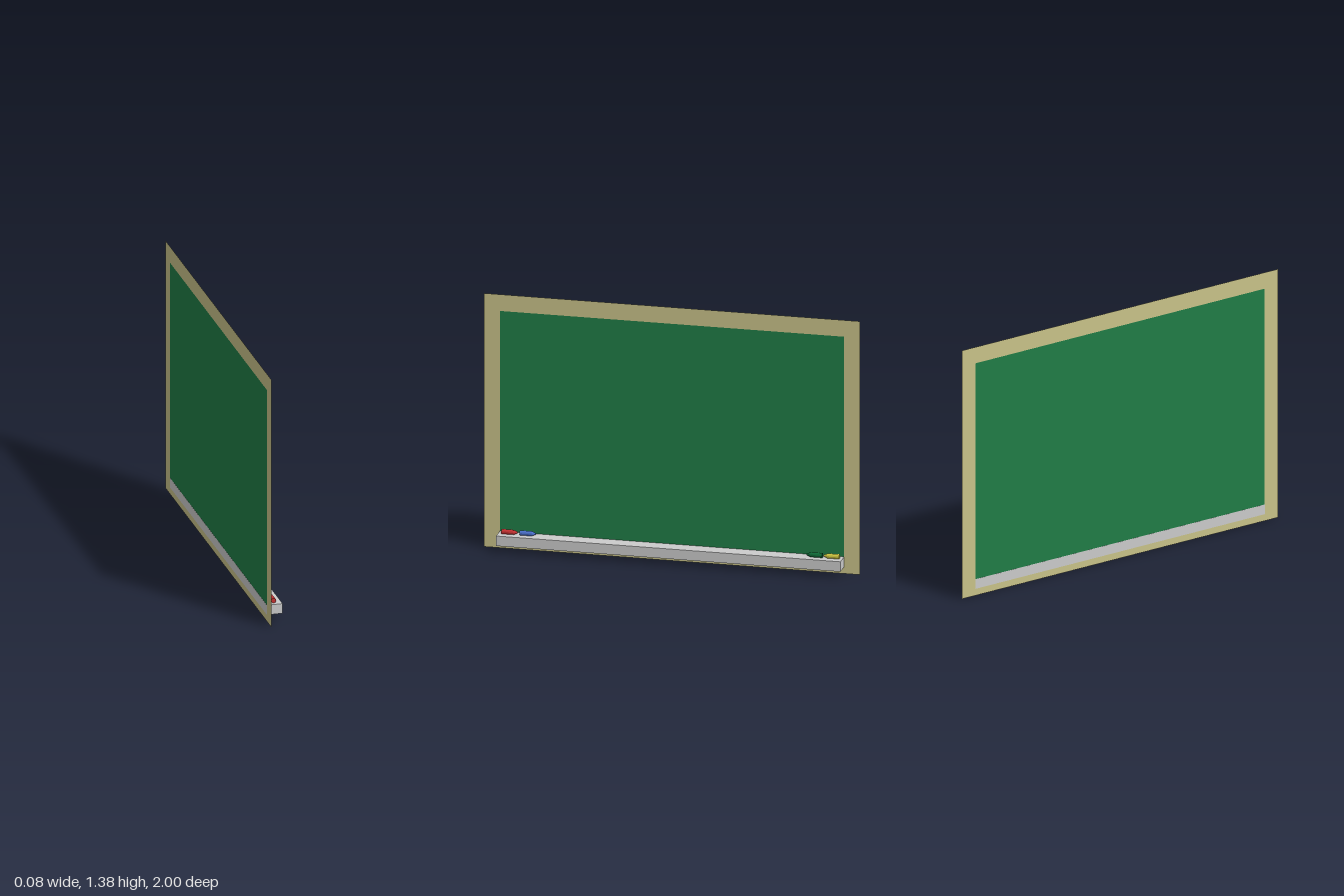
import * as THREE from 'three';

const material = (color, options = {}) => new THREE.MeshStandardMaterial({ color, ...options });

// Rectangle outline centred on x = 0, from y0 to y1
function rectangle(target, halfWidth, y0, y1) {
  target.moveTo(-halfWidth, y0);
  target.lineTo(halfWidth, y0);
  target.lineTo(halfWidth, y1);
  target.lineTo(-halfWidth, y1);
  target.closePath();
  return target;
}

// Flat sheet standing in the yz plane, seen from both sides
function sheet(name, shape, color) {
  const mesh = new THREE.Mesh(
    new THREE.ShapeGeometry(shape),
    material(color, { side: THREE.DoubleSide })
  );
  mesh.name = name;
  mesh.rotation.y = Math.PI / 2;
  mesh.position.x = -0.0415;
  return mesh;
}

// Marker lying along z, tapered tip towards the middle of the tray
function marker(name, color, z, direction) {
  const profile = [[0, 0], [0.013, 0], [0.013, 0.063], [0.004, 0.084], [0, 0.084]]
    .map(([r, y]) => new THREE.Vector2(r, y));
  const mesh = new THREE.Mesh(
    new THREE.LatheGeometry(profile, 12),
    material(color, { flatShading: true })
  );
  mesh.name = name;
  mesh.rotation.x = direction * Math.PI / 2;
  mesh.position.set(0, 0.104, z);
  return mesh;
}

export function createModel() {
  const group = new THREE.Group();
  group.name = 'chalkboard';

  // Frame border and writing surface lie in one plane
  const border = rectangle(new THREE.Shape(), 1, 0, 1.38);
  border.holes.push(rectangle(new THREE.Path(), 0.915, 0.09, 1.29));
  group.add(sheet('frame', border, 0xc9c389));
  group.add(sheet('writingSurface', rectangle(new THREE.Shape(), 0.915, 0.09, 1.29), 0x207d46));

  // Tray along the bottom edge
  const tray = new THREE.Mesh(new THREE.BoxGeometry(0.084, 0.054, 1.83), material(0xcccccc));
  tray.name = 'tray';
  tray.position.y = 0.064;
  group.add(tray);

  // Two markers at each end of the tray
  group.add(
    marker('redMarker', 0xc83232, 0.895, -1),
    marker('blueMarker', 0x4a70cc, 0.798, -1),
    marker('greenMarker', 0x0f6b38, -0.81, 1),
    marker('yellowMarker', 0xccc440, -0.9, 1)
  );
  return group;
}
